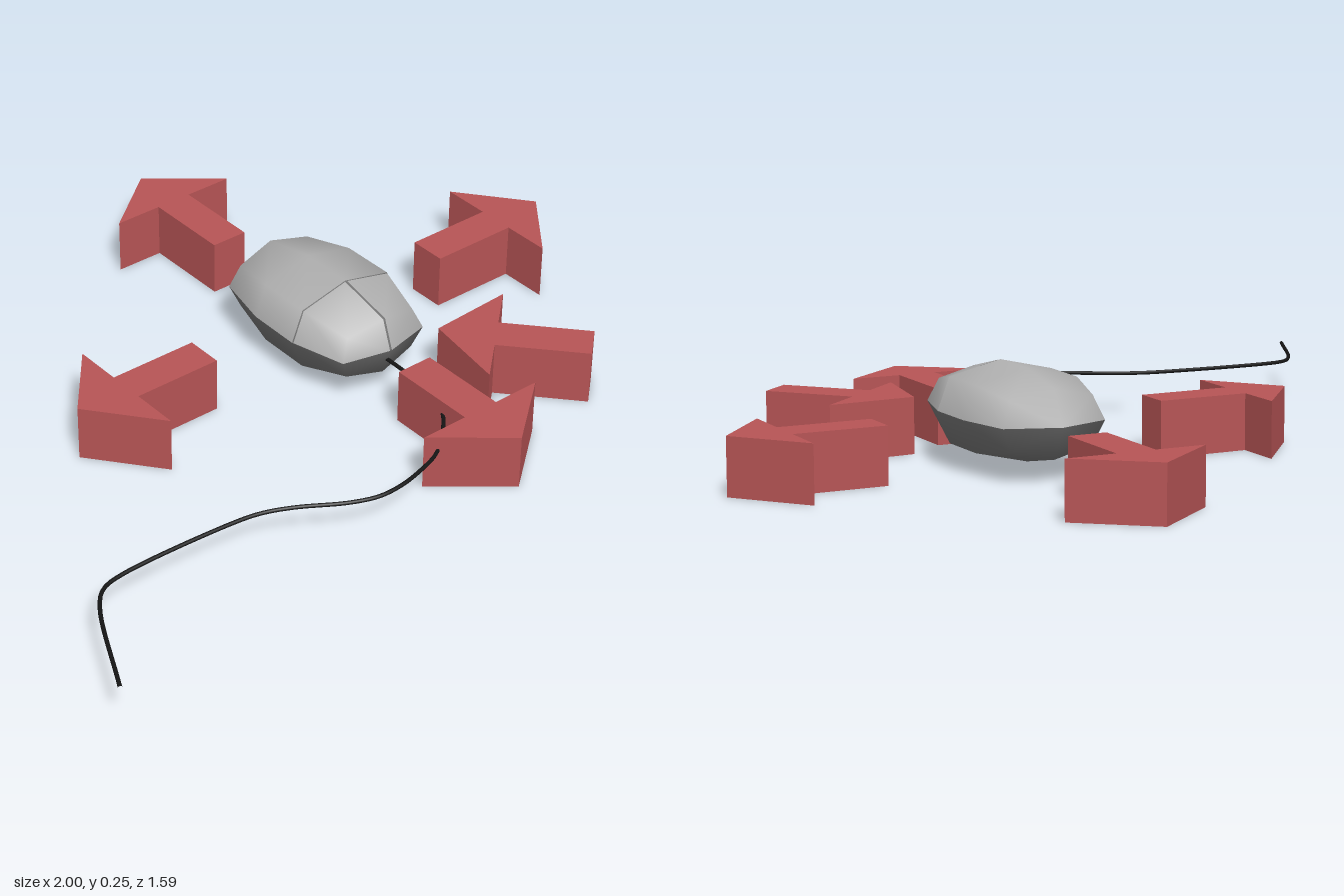
import * as THREE from 'three';
import { mergeVertices } from 'three/addons/utils/BufferGeometryUtils.js';

const CX = 0.247, CY = 0.14; // centre of the mouse body

const arrowRed = new THREE.MeshStandardMaterial({ color: 0xb65455 });
arrowRed.name = 'arrowRed';
const shellGrey = new THREE.MeshStandardMaterial({ color: 0xb0b0b0, side: THREE.DoubleSide });
shellGrey.name = 'shellGrey';
const baseGrey = new THREE.MeshStandardMaterial({ color: 0x727272, side: THREE.DoubleSide });
baseGrey.name = 'baseGrey';
const cableBlack = new THREE.MeshStandardMaterial({ color: 0x151515 });
cableBlack.name = 'cableBlack';

// One point of the eight-sided cross-section [z, halfWidth, halfHeight]
function sectionPoint([z, w, h], k) {
  const corner = k % 2 === 1;
  const x = Math.round(Math.cos(k * Math.PI / 4)) * w * (corner ? 0.81 : 1);
  const y = Math.round(Math.sin(k * Math.PI / 4)) * h * (corner ? 0.72 : 1);
  // Corners of the end rings sit a little further in
  const inset = corner && Math.abs(z) > 0.15 && w > 0 ? -Math.sign(z) * 0.015 : 0;
  return [x, y, z + inset];
}

// Smooth skin over the sections, from side k0 to side k1, with x kept clear of the centre seam
function loft(sections, k0, k1, seamSide = 0) {
  const pos = [], index = [], n = k1 - k0 + 1;
  sections.forEach((s, i) => {
    for (let k = k0; k <= k1; k++) {
      let [x, y, z] = sectionPoint(s, k);
      if (seamSide) x = seamSide * Math.max(0.003, Math.abs(x));
      pos.push(CX + x, CY + y, z);
      if (i < sections.length - 1 && k < k1) {
        const a = i * n + k - k0, b = a + n;
        index.push(a, a + 1, b + 1, a, b + 1, b);
      }
    }
  });
  let g = new THREE.BufferGeometry();
  g.setAttribute('position', new THREE.Float32BufferAttribute(pos, 3));
  g.setIndex(index);
  g = mergeVertices(g, 1e-5);
  g.computeVertexNormals();
  return g;
}

function addMesh(parent, name, geometry, material) {
  const mesh = new THREE.Mesh(geometry, material);
  mesh.name = name;
  parent.add(mesh);
  return mesh;
}

// Flat block arrow with its tip at the origin, pointing to -z
function arrowGeometry() {
  const half = [[0.18, -0.145], [0.05, -0.145], [0.05, -0.385]];
  const shape = new THREE.Shape();
  shape.moveTo(0, 0);
  half.forEach(([x, y]) => shape.lineTo(-x, y));
  half.reverse().forEach(([x, y]) => shape.lineTo(x, y));
  shape.closePath();
  return new THREE.ExtrudeGeometry(shape, { depth: 0.145, bevelEnabled: false }).rotateX(-Math.PI / 2);
}

export function createModel() {
  const model = new THREE.Group();
  model.name = 'mouseWithArrows';

  const mouse = new THREE.Group();
  mouse.name = 'mouse';
  model.add(mouse);

  // Light palm rest above the darker base
  const rear = [[-0.288, 0, 0], [-0.24, 0.135, 0.085], [-0.09, 0.168, 0.115], [0.056, 0.17, 0.115]];
  const front = [[0.205, 0.13, 0.079], [0.234, 0, 0]];
  addMesh(mouse, 'palmRest', loft(rear, 0, 4), shellGrey);
  addMesh(mouse, 'base', loft([...rear, ...front], 4, 8), baseGrey);

  // Dark core that shows through the gaps around the buttons
  addMesh(mouse, 'buttonCore', loft([
    [0.045, 0.165, 0.11], [0.2, 0.127, 0.076], [0.231, 0, 0],
  ], 0, 4), baseGrey);

  // Two buttons over the upper front, split along the middle
  const buttonSections = [[0.059, 0.168, 0.114], ...front];
  addMesh(mouse, 'leftButton', loft(buttonSections, 0, 2, 1), shellGrey);
  addMesh(mouse, 'rightButton', loft(buttonSections, 2, 4, -1), shellGrey);

  // Cable winding away to the right
  const path = [
    [0.247, 0.2], [0.246, 0.28], [0.235, 0.4], [0.2, 0.48], [0.15, 0.535], [0.08, 0.59],
    [0.01, 0.615], [-0.06, 0.63], [-0.13, 0.63], [-0.2, 0.605], [-0.31, 0.54], [-0.38, 0.51],
    [-0.45, 0.497], [-0.77, 0.487], [-0.83, 0.502], [-0.875, 0.55], [-0.997, 0.79],
  ].map(([x, z]) => new THREE.Vector3(x, 0.107, z));
  const curve = new THREE.CatmullRomCurve3(path, false, 'centripetal');
  addMesh(model, 'cable', new THREE.TubeGeometry(curve, 90, 0.005, 8), cableBlack);

  // Arrows around the mouse: tip x, tip z, turn about y
  const arrows = [
    ['backArrow', CX, -0.795, 0],
    ['frontArrow', CX, 0.706, Math.PI],
    ['rightArrow', -0.505, -0.045, Math.PI / 2],
    ['leftArrow', 0.998, -0.045, -Math.PI / 2],
    ['diagonalArrow', 0.398, 0.24, Math.atan2(0.67, 0.742)],
  ];
  const geometry = arrowGeometry();
  for (const [name, x, z, turn] of arrows) {
    const arrow = addMesh(model, name, geometry, arrowRed);
    arrow.position.set(x, 0, z);
    arrow.rotation.y = turn;
  }
  return model;
}
